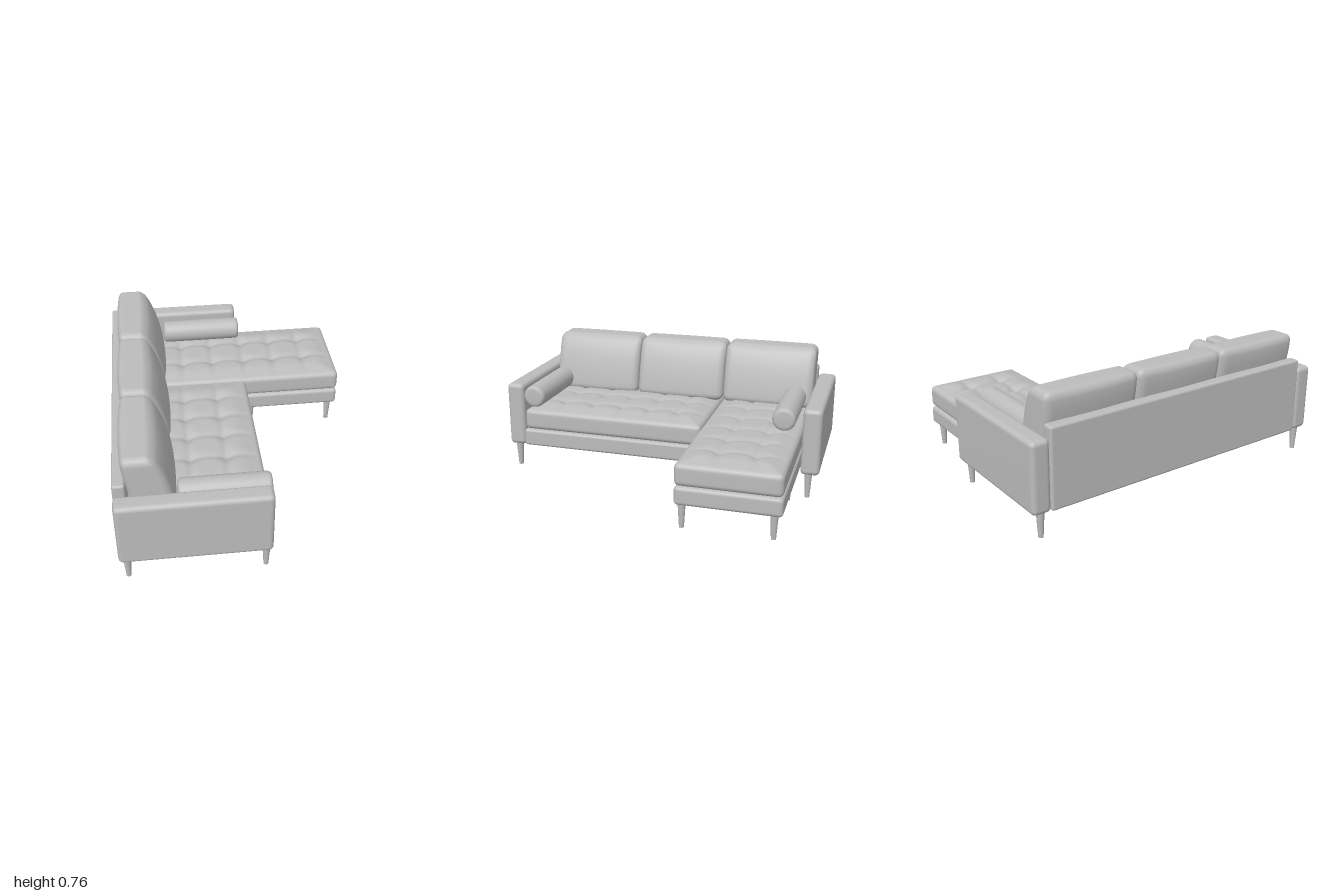
import * as THREE from 'three';
import { mergeVertices } from 'three/addons/utils/BufferGeometryUtils.js';

const upholstery = new THREE.MeshStandardMaterial({ color: 0xbcbcbc });
upholstery.name = 'light grey';

// Rounded box between two corners, with extra rows in the rounded edges and an optional deform rule.
function softBox(min, max, r, segs, deform) {
  const size = max.map((v, i) => v - min[i]);
  const mid = max.map((v, i) => (v + min[i]) / 2);
  const k = 4;
  let geo = new THREE.BoxGeometry(2, 2, 2, ...segs.map((s) => s + 2 * k));
  geo.deleteAttribute('uv');
  geo.deleteAttribute('normal');
  geo = mergeVertices(geo, 1e-5);
  const pos = geo.attributes.position;
  const inner = new THREE.Vector3();
  const p = new THREE.Vector3();
  for (let i = 0; i < pos.count; i++) {
    for (let a = 0; a < 3; a++) {
      const u = pos.getComponent(i, a);
      const s = Math.abs(u);
      const q = segs[a] / (segs[a] + 2 * k);
      const flat = size[a] / 2 - r;
      const d = s <= q ? (s / q) * flat : flat + ((s - q) / (1 - q)) * r;
      p.setComponent(a, Math.sign(u) * d);
      inner.setComponent(a, Math.sign(u) * Math.min(d, flat));
    }
    p.sub(inner).normalize().multiplyScalar(r).add(inner);
    p.x += mid[0];
    p.y += mid[1];
    p.z += mid[2];
    if (deform) deform(p);
    pos.setXYZ(i, p.x, p.y, p.z);
  }
  geo.computeVertexNormals();
  return geo;
}

// Tufted seat: crowned top, shallow seams along the grid and deep dimples where they cross.
function tuftedSeat(min, max, xs, zs) {
  const bell = (d, w) => Math.exp(-(d * d) / (w * w));
  const near = (v, list) => Math.min(...list.map((c) => Math.abs(v - c)));
  const segs = [0, 2].map((a) => Math.round((max[a] - min[a]) / 0.014));
  return softBox(min, max, 0.03, [segs[0], 4, segs[1]], (p) => {
    const t = (p.y - min[1]) / (max[1] - min[1]);
    const w = Math.max(0, (t - 0.5) * 2);
    const edge = Math.min(p.x - min[0], max[0] - p.x, p.z - min[2], max[2] - p.z);
    const fade = THREE.MathUtils.smoothstep(edge, 0.0, 0.13);
    const dx = near(p.x, xs);
    const dz = near(p.z, zs);
    const seam = 0.009 * Math.max(bell(dx, 0.02), bell(dz, 0.02));
    const dimple = 0.02 * bell(Math.hypot(dx, dz), 0.04);
    p.y += w * (0.024 * fade - fade * (seam + dimple));
  });
}

export function createModel() {
  const group = new THREE.Group();
  const add = (name, geo) => {
    const mesh = new THREE.Mesh(geo, upholstery);
    mesh.name = name;
    group.add(mesh);
    return mesh;
  };

  // Frame
  add('seatBase', softBox([-0.7, 0.15, -0.3], [0.112, 0.258, 0.89], 0.018, [1, 1, 1]));
  add('chaiseBase', softBox([-0.7, 0.15, -0.88], [0.73, 0.258, -0.283], 0.022, [1, 1, 1]));
  add('backPanel', softBox([-0.73, 0.15, -0.888], [-0.66, 0.615, 0.885], 0.015, [1, 1, 1]));
  add('leftArm', softBox([-0.73, 0.15, 0.883], [0.114, 0.556, 0.995], 0.028, [1, 1, 1]));
  add('rightArm', softBox([-0.73, 0.15, -1], [0.114, 0.556, -0.888], 0.028, [1, 1, 1]));

  // Seat cushions
  add('seatCushion', tuftedSeat([-0.66, 0.262, -0.28], [0.114, 0.392, 0.88],
    [-0.5, -0.3, -0.09], [-0.09, 0.095, 0.28, 0.47, 0.665]));
  add('chaiseCushion', tuftedSeat([-0.66, 0.262, -0.878], [0.732, 0.392, -0.283],
    [-0.48, -0.28, -0.08, 0.125, 0.32, 0.52], [-0.7, -0.495]));

  // Leaning back cushions, thinner towards the top and the ends
  for (const z of [-0.59, -0.004, 0.583]) {
    add('backCushion', softBox([-0.13, 0.395, z - 0.292], [0.13, 0.768, z + 0.292], 0.045, [8, 12, 16], (p) => {
      const t = (p.y - 0.395) / 0.373;
      const e = (p.z - z) / 0.292;
      const thick = (1 - 0.12 * t * t - 0.22 * t ** 6) * (1 - 0.12 * e * e);
      p.x = p.x * thick - 0.515 - 0.08 * t ** 1.4;
    }));
  }

  // Bolsters lying against the arms
  const bolsterProfile = [
    [0, -0.256], [0.045, -0.255], [0.058, -0.252], [0.066, -0.245], [0.07, -0.232],
    [0.071, 0], [0.07, 0.232], [0.066, 0.245], [0.058, 0.252], [0.045, 0.255], [0, 0.256],
  ].map(([x, y]) => new THREE.Vector2(x, y));
  for (const z of [0.808, -0.778]) {
    const bolster = add('bolster', new THREE.LatheGeometry(bolsterProfile, 32));
    bolster.rotation.z = -Math.PI / 2;
    bolster.position.set(-0.134, 0.484, z);
  }

  // Tapered legs
  const legGeo = new THREE.CylinderGeometry(0.023, 0.014, 0.15, 16);
  const legs = [
    [-0.685, 0.94], [0.08, 0.94], [-0.685, -0.935], [0.08, -0.935], [-0.31, 0.305],
    [-0.31, -0.41], [0.155, -0.32], [0.155, -0.83], [0.68, -0.32], [0.68, -0.83],
  ];
  for (const [x, z] of legs) add('leg', legGeo).position.set(x, 0.078, z);

  return group;
}
